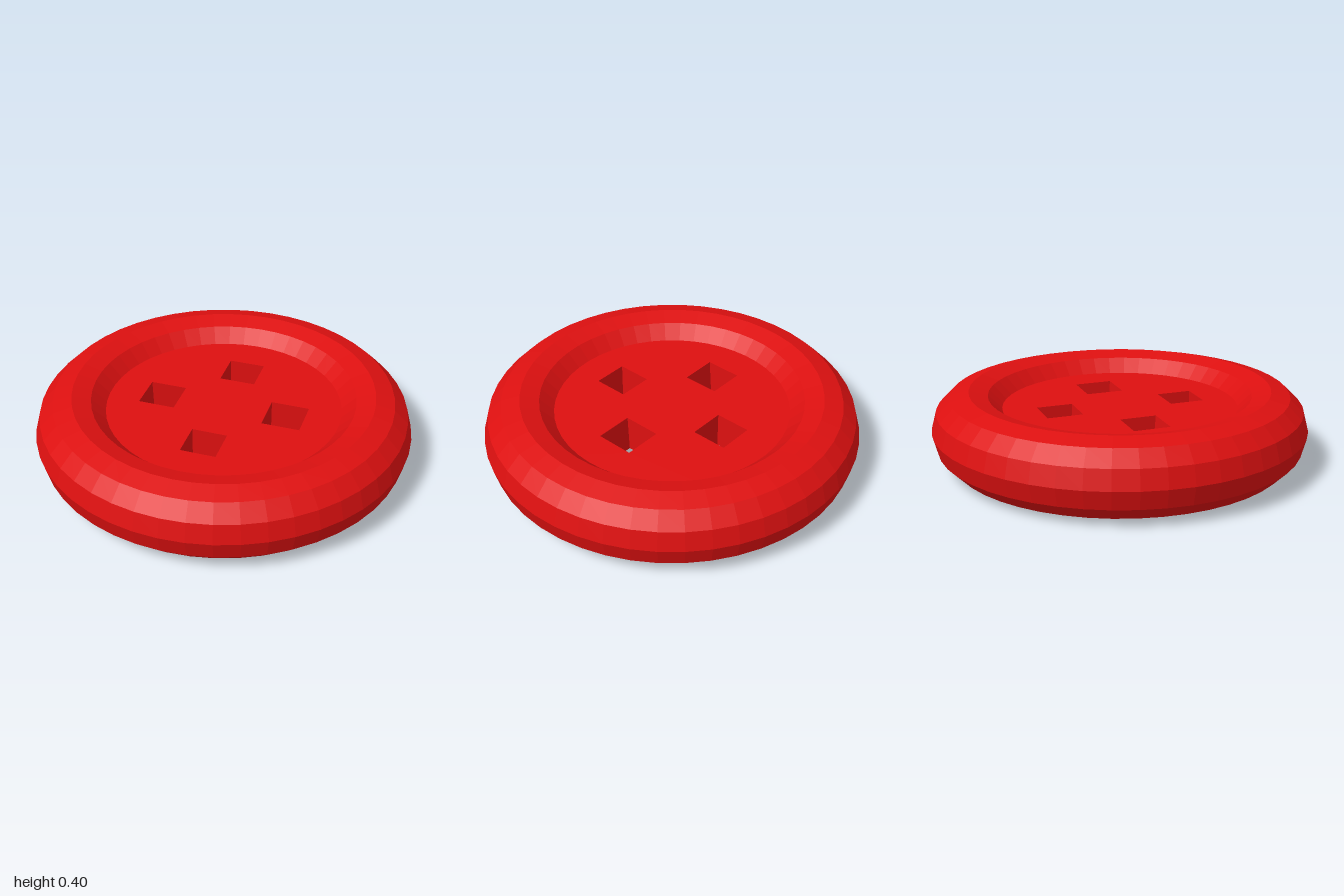
import * as THREE from 'three';

const SEGMENTS = 48;
const RING_RADIUS = 0.8, TUBE_RADIUS = 0.2, MID_Y = 0.2;
const INNER_RADIUS = RING_RADIUS - TUBE_RADIUS * Math.cos(Math.PI / 6);
const TOP_Y = 0.3, BOTTOM_Y = 0.1;

// Slightly irregular diamond holes: centre x, z and half diagonal, at the top and the bottom face
const HOLES = [
  { top: [-0.25, -0.237, 0.139], bottom: [-0.24, -0.248, 0.138] },
  { top: [0.237, -0.238, 0.137], bottom: [0.237, -0.238, 0.137] },
  { top: [-0.246, 0.257, 0.133], bottom: [-0.246, 0.257, 0.133] },
  { top: [0.24, 0.24, 0.144], bottom: [0.24, 0.233, 0.138] },
];

function flat(geometry) {
  const g = geometry.index ? geometry.toNonIndexed() : geometry;
  g.computeVertexNormals();
  return g;
}

// Corners of a diamond, counter-clockwise seen from above, as (x, z)
function diamond([x, z, r]) {
  return [[x + r, z], [x, z - r], [x - r, z], [x, z + r]];
}

// Flat disc pierced by the holes, facing up (side 1) or down (side -1)
function discFace(side, key, y) {
  const outline = [];
  for (let i = 0; i < SEGMENTS; i++) {
    const a = (i / SEGMENTS) * Math.PI * 2;
    outline.push(new THREE.Vector2(INNER_RADIUS * Math.cos(a), INNER_RADIUS * Math.sin(a)));
  }
  const shape = new THREE.Shape(outline);
  for (const hole of HOLES) {
    shape.holes.push(new THREE.Path(
      diamond(hole[key]).map(([x, z]) => new THREE.Vector2(x, -side * z))));
  }
  const g = new THREE.ShapeGeometry(shape);
  g.rotateX(-side * Math.PI / 2);
  g.translate(0, y, 0);
  return flat(g);
}

// Four walls facing into one hole
function holeWalls(hole) {
  const top = diamond(hole.top).map(([x, z]) => [x, TOP_Y, z]);
  const bottom = diamond(hole.bottom).map(([x, z]) => [x, BOTTOM_Y, z]);
  const positions = [];
  for (let i = 0; i < 4; i++) {
    const j = (i + 1) % 4;
    positions.push(...bottom[j], ...bottom[i], ...top[i], ...bottom[j], ...top[i], ...top[j]);
  }
  const g = new THREE.BufferGeometry();
  g.setAttribute('position', new THREE.Float32BufferAttribute(positions, 3));
  return flat(g);
}

export function createModel() {
  const group = new THREE.Group();
  group.name = 'button';
  const red = new THREE.MeshStandardMaterial({ color: 0xdd1010, flatShading: true });
  red.name = 'red';

  const add = (name, geometry) => {
    const mesh = new THREE.Mesh(geometry, red);
    mesh.name = name;
    group.add(mesh);
  };

  // Rounded rim, open where it meets the centre disc
  const profile = [];
  for (let deg = -150; deg <= 150; deg += 30) {
    const a = THREE.MathUtils.degToRad(deg);
    profile.push(new THREE.Vector2(
      RING_RADIUS + TUBE_RADIUS * Math.cos(a), MID_Y + TUBE_RADIUS * Math.sin(a)));
  }
  add('rim', flat(new THREE.LatheGeometry(profile, SEGMENTS)));

  // Recessed centre disc
  add('discTop', discFace(1, 'top', TOP_Y));
  add('discBottom', discFace(-1, 'bottom', BOTTOM_Y));

  // Thread holes
  HOLES.forEach((hole, i) => add('threadHole' + (i + 1), holeWalls(hole)));

  return group;
}
